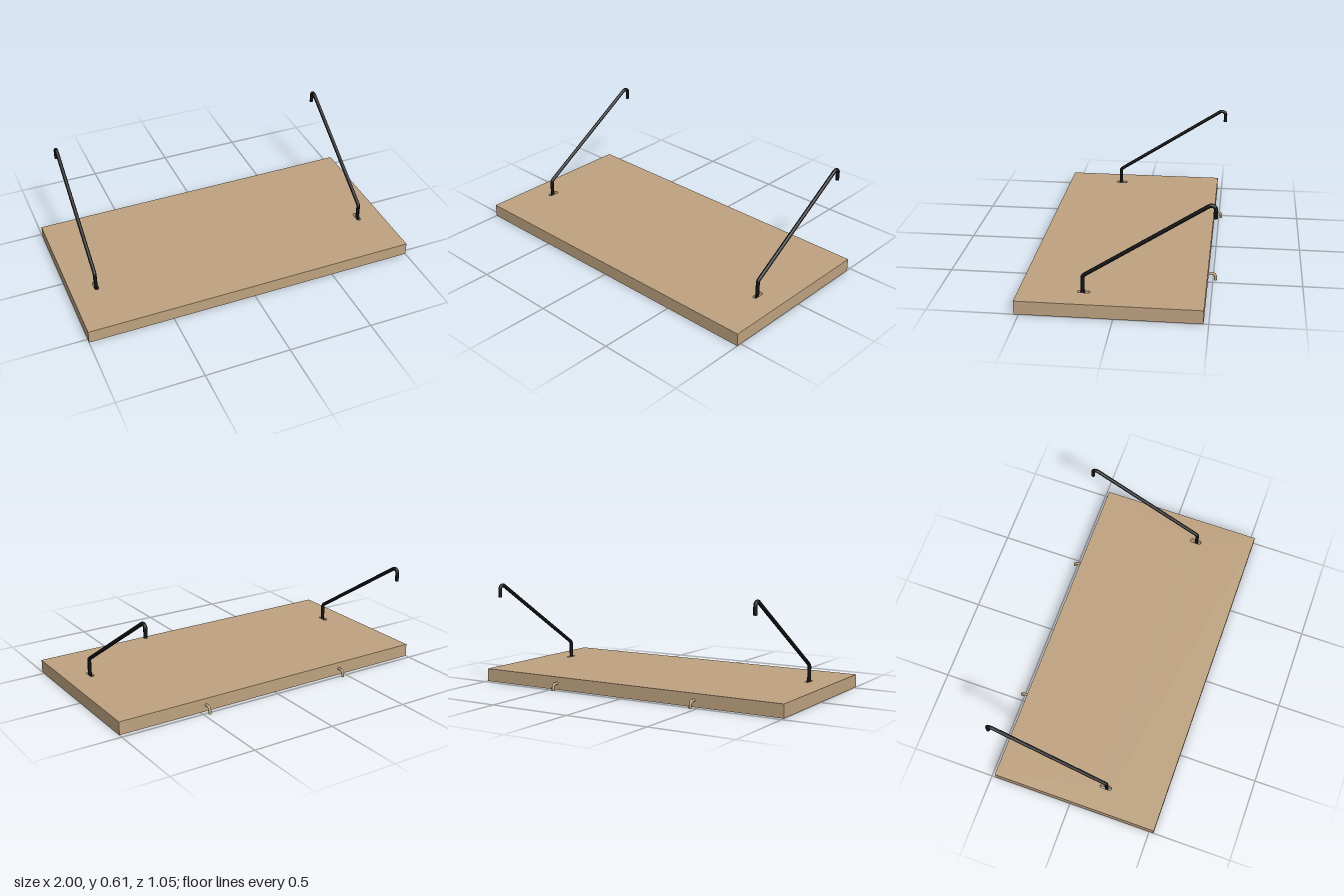
import * as THREE from 'three';
import { mergeGeometries } from 'three/addons/utils/BufferGeometryUtils.js';

const BACK = -0.473, FRONT = 0.527, THICK = 0.077, ROD_X = 0.85;

const wood = new THREE.MeshStandardMaterial({ color: 0xbea280 });
wood.name = 'wood';
const blackMetal = new THREE.MeshStandardMaterial({ color: 0x111113 });
blackMetal.name = 'blackMetal';

// Flat board layer with a rounded slot on each side
function boardLayer(bottom, top, slotBack, slotFront) {
  const shape = new THREE.Shape();
  shape.moveTo(-1, BACK);
  shape.lineTo(1, BACK);
  shape.lineTo(1, FRONT);
  shape.lineTo(-1, FRONT);
  shape.closePath();
  const r = 0.0125;
  for (const x of [-ROD_X, ROD_X]) {
    const slot = new THREE.Path();
    slot.absarc(x, slotFront - r, r, 0, Math.PI, false);
    slot.absarc(x, slotBack + r, r, Math.PI, 2 * Math.PI, false);
    slot.closePath();
    shape.holes.push(slot);
  }
  const geometry = new THREE.ExtrudeGeometry(shape, { depth: top - bottom, bevelEnabled: false, curveSegments: 8 });
  geometry.rotateX(Math.PI / 2);
  geometry.translate(0, top, 0);
  return geometry;
}

// Round bar along [z, y] corners, each inner corner rounded off; both ends capped
function bentBar(corners, bend, radius, segments) {
  const pts = corners.map(([z, y]) => new THREE.Vector3(0, y, z));
  const path = new THREE.CurvePath();
  let start = pts[0];
  for (let i = 1; i < pts.length - 1; i++) {
    const toward = (q) => pts[i].clone().add(q.clone().sub(pts[i]).setLength(bend));
    const a = toward(pts[i - 1]), b = toward(pts[i + 1]);
    path.add(new THREE.LineCurve3(start, a));
    path.add(new THREE.QuadraticBezierCurve3(a, pts[i], b));
    start = b;
  }
  path.add(new THREE.LineCurve3(start, pts[pts.length - 1]));
  const cap = (end, dir) => {
    const disc = new THREE.CircleGeometry(radius, 12);
    disc.applyQuaternion(new THREE.Quaternion().setFromUnitVectors(new THREE.Vector3(0, 0, 1), dir));
    return disc.translate(end.x, end.y, end.z);
  };
  return mergeGeometries([
    new THREE.TubeGeometry(path, segments, radius, 12, false),
    cap(pts[0], path.getTangent(0).negate()),
    cap(pts[pts.length - 1], path.getTangent(1)),
  ]);
}

export function createModel() {
  const model = new THREE.Group();
  model.name = 'hangingShelf';
  const add = (name, geometry, material, x = 0) => {
    const mesh = new THREE.Mesh(geometry, material);
    mesh.name = name;
    mesh.position.x = x;
    model.add(mesh);
  };

  // Board: short holes on top open into longer grooves underneath
  add('boardTop', boardLayer(0.03, THICK, 0.14, 0.21), wood);
  add('boardBottom', boardLayer(0, 0.03, 0.04, 0.21), wood);

  // Support rods and rear hooks, mirrored left and right
  const rod = bentBar([[0.18, 0.045], [0.18, 0.172], [-0.49, 0.603], [-0.515, 0.592], [-0.515, 0.53]], 0.0135, 0.011, 140);
  const hook = bentBar([[BACK + 0.01, 0.039], [-0.514, 0.039], [-0.514, 0]], 0.024, 0.008, 24);
  for (const [side, s] of [['left', 1], ['right', -1]]) {
    add(side + 'SupportRod', rod, blackMetal, s * ROD_X);
    add(side + 'RearHook', hook, wood, s * 0.465);
  }
  return model;
}
